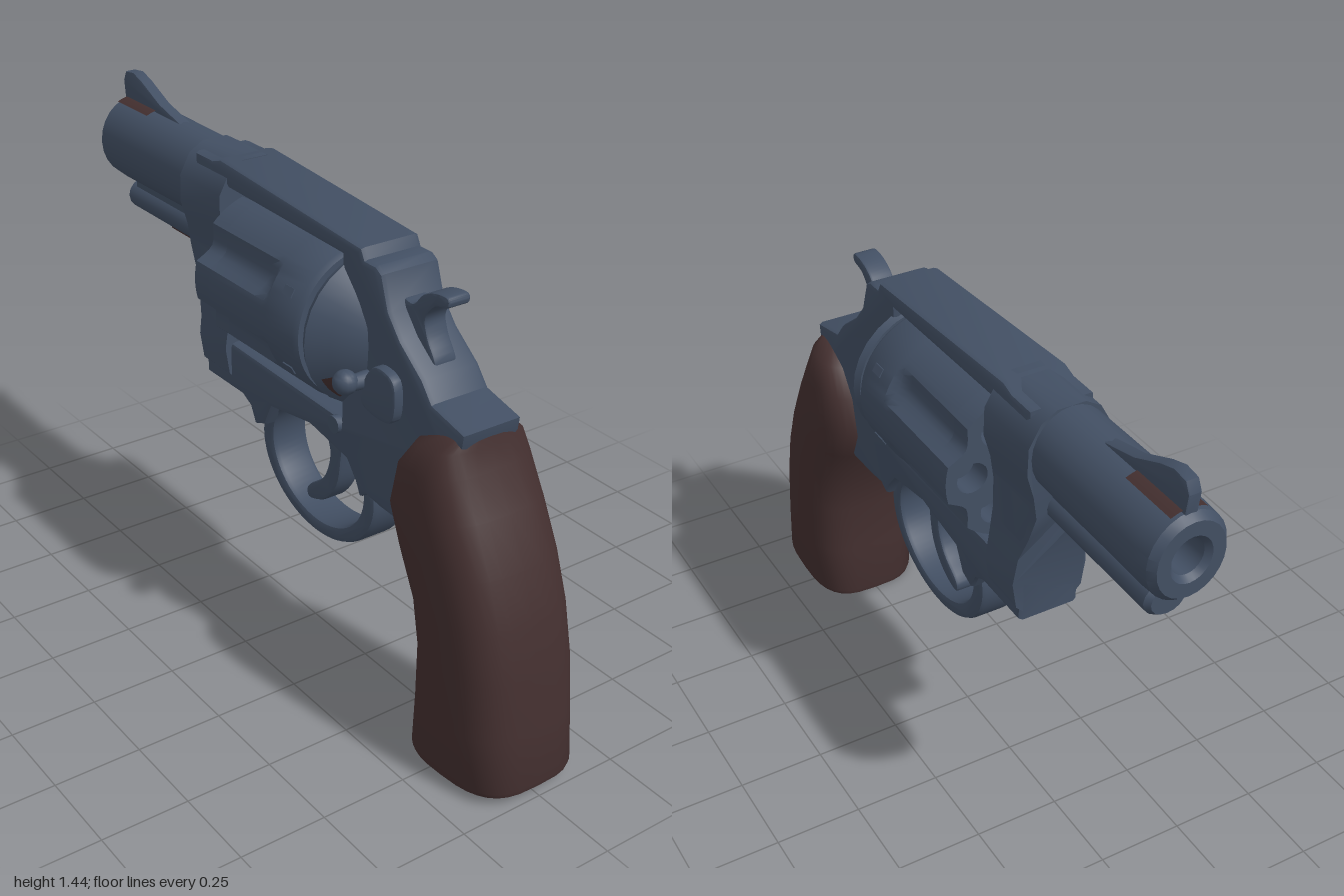
import * as THREE from 'three';
import { toCreasedNormals } from 'three/addons/utils/BufferGeometryUtils.js';

const steel = new THREE.MeshStandardMaterial({ color: 0x424f63 });
steel.name = 'blued steel';
const brown = new THREE.MeshStandardMaterial({ color: 0x432f2f });
brown.name = 'dark brown';

const BORE_Y = 1.235, CYL_Y = 1.05;

export function createModel() {
  const group = new THREE.Group();
  const add = (name, geo, mat = steel, crease = 0.6) => {
    const mesh = new THREE.Mesh(toCreasedNormals(geo, crease), mat);
    mesh.name = name;
    group.add(mesh);
    return mesh;
  };
  const shapeOf = pts => new THREE.Shape(pts.map(p => new THREE.Vector2(...p)));
  const smooth = (pts, n = 40) => new THREE.Shape(
    new THREE.CatmullRomCurve3(pts.map(p => new THREE.Vector3(p[0], p[1], 0)), true)
      .getPoints(n).slice(0, -1).map(p => new THREE.Vector2(p.x, p.y)));
  // Side outline given thickness 2h, centred on z = 0, with a small bevel
  const plate = (shape, h, bevel = 0.015) => new THREE.ExtrudeGeometry(shape, {
    depth: 2 * (h - bevel), bevelThickness: bevel, bevelSize: bevel,
    bevelOffset: -bevel, bevelSegments: 2, curveSegments: 32,
  }).translate(0, 0, -(h - bevel));
  // Turned part along x; the profile lists [radius, x]
  const turned = (profile, y, sides = 32, start = 0, length = Math.PI * 2) =>
    new THREE.LatheGeometry(profile.map(p => new THREE.Vector2(...p)), sides, start, length)
      .rotateZ(-Math.PI / 2).translate(0, y, 0);
  // Skin over closed rings of equal length
  const loft = rings => {
    const n = rings[0].length, pos = [], idx = [];
    rings.forEach(r => r.forEach(p => pos.push(...p)));
    for (let s = 0; s < rings.length - 1; s++) for (let i = 0; i < n; i++) {
      const a = s * n + i, b = s * n + (i + 1) % n;
      idx.push(a, b, a + n, b, b + n, a + n);
    }
    const g = new THREE.BufferGeometry();
    g.setAttribute('position', new THREE.Float32BufferAttribute(pos, 3));
    g.setIndex(idx);
    return g;
  };

  // Barrel with an open muzzle
  add('barrel', turned([[0, -0.8], [0.05, -0.8], [0.05, -0.985], [0.065, -1], [0.105, -1],
    [0.122, -0.98], [0.125, -0.93], [0.121, -0.45]], 0, 24).scale(1, 1, 0.9).translate(0, BORE_Y, 0));
  add('ejectorShroud', turned([[0, -0.93], [0.04, -0.93], [0.05, -0.915], [0.05, -0.45]], 0, 16)
    .scale(1, 1, 1.2).translate(0, 1.07, 0));
  add('shroudWeb', new THREE.BoxGeometry(0.42, 0.08, 0.09).translate(-0.68, 1.11, 0));

  // Front sight blade and the brown inlay around its foot
  add('frontSight', plate(shapeOf([[-0.98, 1.33], [-0.99, 1.41], [-0.975, 1.44], [-0.93, 1.446],
    [-0.88, 1.43], [-0.78, 1.385], [-0.64, 1.35], [-0.64, 1.33]]), 0.018, 0.004));
  for (const a of [-2.0, -1.56]) {
    add('sightInlay', turned([[0.128, -0.975], [0.128, -0.8]], 0, 6, a, 0.42)
      .scale(1, 1, 0.93).translate(0, BORE_Y, 0), brown);
  }
  add('shroudInlay', new THREE.BoxGeometry(0.2, 0.006, 0.05).translate(-0.62, 1.02, 0), brown);

  // Frame with the window for the cylinder
  const frame = shapeOf([[-0.43, 0.67], [-0.24, 0.67], [-0.2, 0.65], [-0.175, 0.6], [-0.125, 0.62],
    [-0.09, 0.69], [0.1, 0.72], [0.27, 0.69], [0.31, 0.64], [0.33, 0.6], [0.36, 0.62], [0.42, 0.612],
    [0.54, 0.607], [0.62, 0.7], [0.71, 0.86], [0.742, 0.93], [0.748, 0.97], [0.62, 1.0], [0.58, 1.05],
    [0.49, 1.12], [0.44, 1.18], [0.41, 1.27], [0.385, 1.285], [0.34, 1.285], [0.325, 1.313],
    [-0.33, 1.358], [-0.37, 1.345], [-0.46, 1.345], [-0.48, 1.05], [-0.43, 0.88]]);
  frame.holes.push(shapeOf([[-0.29, 0.815], [-0.29, 1.285], [0.245, 1.27], [0.245, 0.8]]));
  add('frame', plate(frame, 0.093));

  // Rounded front of the frame, slanting back towards the bottom
  const half = [[0.04, 1.357], [0.085, 1.33], [0.118, 1.27], [0.12, 1.19], [0.1, 1.12], [0.09, 1.05],
    [0.09, 0.96], [0.1, 0.88], [0.112, 0.8], [0.1, 0.72], [0.05, 0.67]];
  const outline = [...half, ...half.map(([z, y]) => [-z, y]).reverse()];
  const front = new THREE.ExtrudeGeometry(shapeOf(outline), { depth: 0.2, bevelEnabled: false })
    .rotateY(Math.PI / 2).translate(-0.49, 0, 0);
  const fp = front.attributes.position;
  for (let i = 0; i < fp.count; i++) {
    if (fp.getX(i) < -0.4) {
      fp.setX(i, -0.43 - 0.07 * THREE.MathUtils.clamp((fp.getY(i) - 0.87) / 0.18, 0, 1));
    }
  }
  add('frameFront', front);

  // Fluted cylinder with six chambers
  const N = 72, R = 0.218;
  const fluted = depth => Array.from({ length: N }, (_, i) => {
    const t = i / N * Math.PI * 2, r = R - depth * Math.max(0, Math.cos(6 * t));
    return [r * Math.cos(t), r * Math.sin(t)];
  });
  const ring = (x, depth, scale = 1) => fluted(depth).map(([y, z]) => [x, CYL_Y + y * scale, z * scale]);
  const mouth = shapeOf(fluted(0.035));
  for (let i = 0; i < 6; i++) {
    const t = (i + 0.5) * Math.PI / 3;
    mouth.holes.push(new THREE.Path().absarc(0.14 * Math.cos(t), 0.14 * Math.sin(t), 0.045, 0, Math.PI * 2));
  }
  add('cylinderMouth', new THREE.ExtrudeGeometry(mouth, { depth: 0.07, bevelEnabled: false })
    .rotateZ(Math.PI / 2).rotateY(Math.PI / 2).translate(-0.27, CYL_Y, 0));
  add('cylinder', loft([ring(-0.2, 0.035, 0), ring(-0.2, 0.035), ring(0.02, 0.03), ring(0.06, 0.018),
    ring(0.08, 0), ring(0.205, 0), ring(0.22, 0, 0.96), ring(0.22, 0, 0)]));
  add('cylinderAxle', turned([[0.05, -0.31], [0.05, 0.26]], CYL_Y, 16));
  for (let i = 0; i < 6; i++) {
    add('stopNotch', new THREE.BoxGeometry(0.04, 0.006, 0.025).translate(0.15, R, 0)
      .rotateX(i * Math.PI / 3).translate(0, CYL_Y, 0));
  }

  // Recoil shield behind the cylinder, with brown touches low on each side
  add('recoilShield', turned([[0, 0.235], [0.205, 0.235], [0.215, 0.255], [0.17, 0.305],
    [0.11, 0.36], [0, 0.39]], CYL_Y, 28));
  for (const a of [0.5, Math.PI - 0.95]) {
    add('shieldPatch', turned([[0.2, 0.276], [0.173, 0.306], [0.145, 0.332]], CYL_Y, 6, a, 0.45), brown);
  }

  // Trigger guard and trigger
  const guard = new THREE.Shape().absellipse(0.085, 0.57, 0.27, 0.212, 0, Math.PI * 2);
  guard.holes.push(new THREE.Path().absellipse(0.087, 0.575, 0.215, 0.172, 0, Math.PI * 2));
  add('triggerGuard', plate(guard, 0.06));
  add('trigger', plate(smooth([[0.08, 0.74], [0.115, 0.62], [0.085, 0.53], [0.005, 0.46], [0.01, 0.43],
    [0.08, 0.45], [0.145, 0.52], [0.168, 0.62], [0.17, 0.74]]), 0.035, 0.01));

  // Hammer with its curved spur
  add('hammer', plate(smooth([[0.4, 1.1], [0.42, 1.2], [0.465, 1.2], [0.5, 1.235], [0.55, 1.258], [0.6, 1.258],
    [0.6, 1.236], [0.55, 1.22], [0.515, 1.175], [0.525, 1.13], [0.56, 1.06], [0.5, 1.02]], 60), 0.035, 0.007));

  // Cylinder latch on the left side
  add('latchPlate', plate(smooth([[0.37, 0.91], [0.48, 0.895], [0.505, 0.92], [0.5, 1.02], [0.43, 1.035],
    [0.385, 0.99]]), 0.02, 0.008).translate(0, 0, 0.1));
  add('latchKnob', new THREE.SphereGeometry(0.034, 16, 12).translate(0.358, 0.975, 0.16));
  add('latchStem', new THREE.CylinderGeometry(0.02, 0.025, 0.08, 12).rotateX(Math.PI / 2).translate(0.365, 0.97, 0.12));
  add('framePin', new THREE.CylinderGeometry(0.025, 0.025, 0.02, 12).rotateX(Math.PI / 2).translate(0.23, 0.78, 0.095));

  // Grip: each section is [front x, front y, back x, back y, half width]
  const gripRings = [[0.66, 0.945, 0.742, 0.95, 0.09], [0.575, 0.9, 0.75, 0.92, 0.138],
    [0.52, 0.82, 0.77, 0.86, 0.162], [0.495, 0.7, 0.825, 0.76, 0.174], [0.535, 0.605, 0.887, 0.63, 0.176],
    [0.6, 0.48, 0.93, 0.5, 0.176], [0.625, 0.34, 0.96, 0.36, 0.176], [0.62, 0.18, 0.98, 0.2, 0.176],
    [0.607, 0.02, 0.998, 0.05, 0.174], [0.61, 0.005, 0.995, 0.035, 0.168]].map(([x0, y0, x1, y1, w]) =>
    Array.from({ length: 32 }, (_, i) => {
      const t = i / 32 * Math.PI * 2, c = Math.cos(t), s = Math.sin(t);
      const u = Math.sign(c) * Math.abs(c) ** 0.7, v = Math.sign(s) * Math.abs(s) ** 0.6;
      const k = (u + 1) / 2;
      return [x0 + (x1 - x0) * k, y0 + (y1 - y0) * k, v * w];
    }));
  const centre = r => r.map(() => [0, 1, 2].map(j => r.reduce((sum, p) => sum + p[j], 0) / r.length));
  add('grip', loft([centre(gripRings[0]), ...gripRings]), brown, 0.8);
  const butt = gripRings[gripRings.length - 1];
  add('gripButt', loft([butt, centre(butt)]));

  return group;
}
